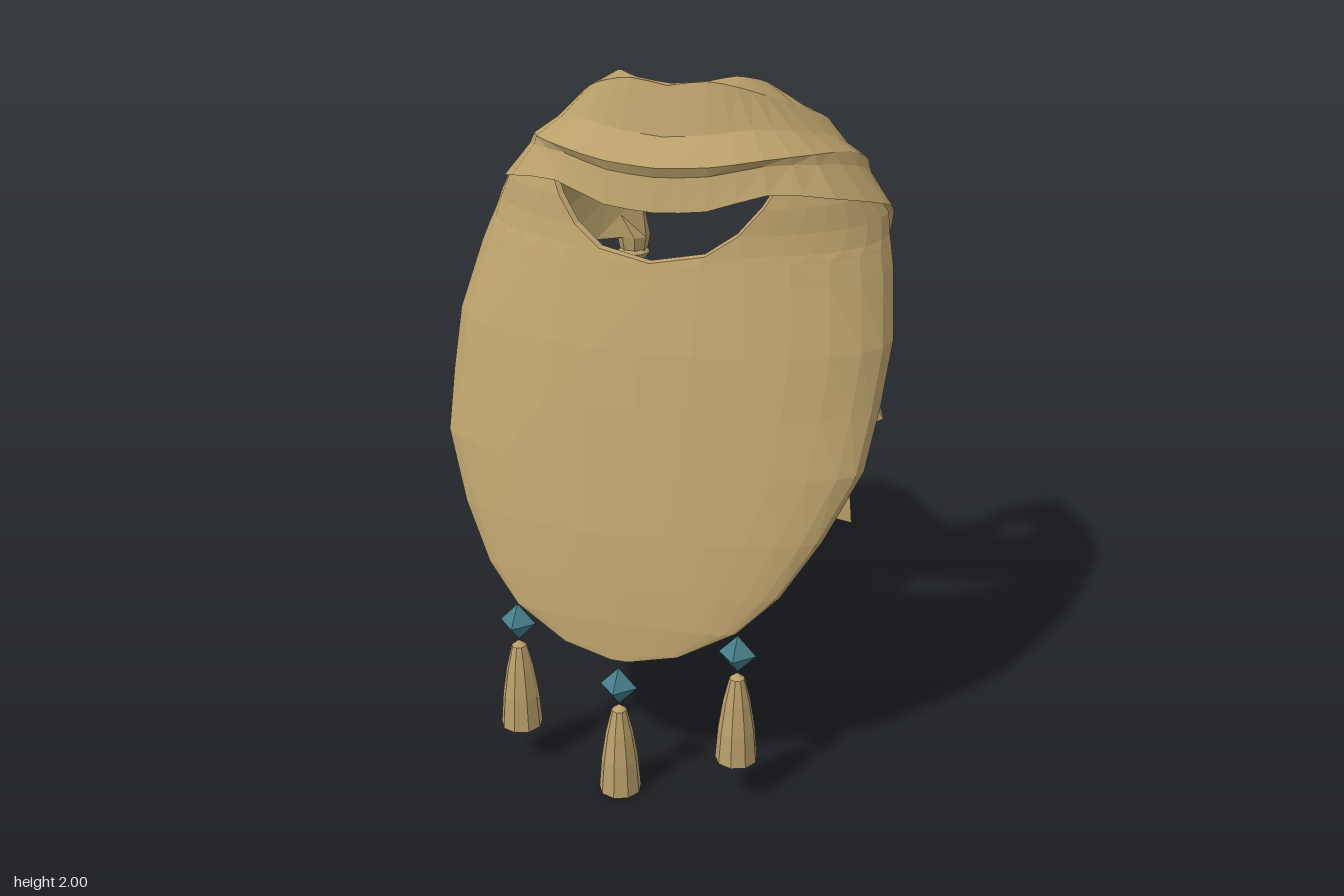
import * as THREE from 'three';

const cloth = new THREE.MeshStandardMaterial({ color: 0xb99f6a, flatShading: true, side: THREE.DoubleSide });
cloth.name = 'sand cloth';
const teal = new THREE.MeshStandardMaterial({ color: 0x467e8a, flatShading: true });
teal.name = 'teal bead';

const V = (x, y, z) => new THREE.Vector3(x, y, z);
const mix = (a, b, t) => a.clone().lerp(b, t);

// Skin a list of cross-sections (arrays of Vector3); side -1 mirrors in x
function loft(rows, side, closed) {
  const n = rows[0].length, pos = [], idx = [];
  rows.forEach(r => r.forEach(p => pos.push(p.x * side, p.y, p.z)));
  for (let i = 0; i < rows.length - 1; i++) {
    for (let j = 0; j < (closed ? n : n - 1); j++) {
      const a = i * n + j, b = i * n + (j + 1) % n, c = a + n, d = b + n;
      if (side > 0) idx.push(a, b, c, b, d, c);
      else idx.push(a, c, b, b, c, d);
    }
  }
  const g = new THREE.BufferGeometry();
  g.setAttribute('position', new THREE.Float32BufferAttribute(pos, 3));
  g.setIndex(idx);
  g.computeVertexNormals();
  return g;
}

function add(parent, name, geometry, material, x = 0, y = 0, z = 0) {
  const m = new THREE.Mesh(geometry, material);
  m.name = name;
  m.position.set(x, y, z);
  parent.add(m);
  return m;
}

// Veil rows: height, inner x (eye slit), half width, centre z, rim z
const veilRows = [
  [0.42, 0, 0.03, 0.69, 0.688], [0.45, 0, 0.17, 0.686, 0.675], [0.53, 0, 0.33, 0.675, 0.635],
  [0.63, 0, 0.44, 0.655, 0.575], [0.78, 0, 0.54, 0.62, 0.49], [0.96, 0, 0.63, 0.565, 0.38],
  [1.12, 0, 0.65, 0.52, 0.265], [1.28, 0, 0.66, 0.47, 0.16], [1.46, 0, 0.63, 0.4, 0.035],
  [1.515, 0, 0.615, 0.38, 0], [1.54, 0.155, 0.607, 0.37, -0.02], [1.595, 0.24, 0.595, 0.355, -0.055],
  [1.665, 0.3, 0.555, 0.34, -0.025], [1.715, 0.33, 0.49, 0.32, 0.04], [1.745, 0.35, 0.44, 0.3, 0.09],
];
function veilSections() {
  const cols = 7;
  return veilRows.map(([y, xs, w, zc, ze]) => {
    const outer = [];
    for (let j = 0; j <= cols; j++) {
      const x = xs + (w - xs) * Math.sin((j / cols) * Math.PI / 2);
      outer.push(V(x, y, ze + (zc - ze) * Math.sqrt(Math.max(0, 1 - (x / w) ** 2))));
    }
    const inner = outer.map(p => V(p.x * 0.975, p.y + 0.004, p.z - 0.02)).reverse();
    return [...outer, ...inner];
  });
}

// Guide lines of the wrap, from the front centre back to the knot
const line = pts => new THREE.CatmullRomCurve3(pts.map(p => V(...p)));
const topEdge = line([[0, 1.98, 0.165], [0.105, 1.99, 0.15], [0.17, 1.995, 0.09], [0.2, 1.985, 0.05], [0.23, 1.96, -0.03],
  [0.262, 1.89, -0.17], [0.283, 1.8, -0.31], [0.3, 1.67, -0.42], [0.3, 1.48, -0.48]]);
const ridge = line([[0, 1.98, 0.2], [0.11, 1.995, 0.19], [0.19, 1.98, 0.165], [0.26, 1.95, 0.11], [0.32, 1.905, 0],
  [0.36, 1.845, -0.18], [0.365, 1.785, -0.33], [0.36, 1.7, -0.45], [0.35, 1.54, -0.535]]);
const fold = line([[0, 1.775, 0.33], [0.15, 1.782, 0.312], [0.295, 1.8, 0.26], [0.415, 1.8, 0.15], [0.478, 1.775, -0.02],
  [0.5, 1.725, -0.18], [0.485, 1.67, -0.31], [0.45, 1.6, -0.43], [0.42, 1.47, -0.52]]);
const lowEdge = line([[0, 1.652, 0.345], [0.15, 1.662, 0.33], [0.31, 1.707, 0.28], [0.485, 1.685, 0.18], [0.59, 1.622, -0.04],
  [0.585, 1.565, -0.2], [0.565, 1.5, -0.31], [0.535, 1.42, -0.395], [0.455, 1.31, -0.465]]);

const knot = V(0.345, 1.21, -0.53);
const ringPoint = (deg, r, y) => {
  const a = deg * Math.PI / 180;
  return V(knot.x + r * Math.cos(a), y, knot.z + r * Math.sin(a));
};

function wrapSections() {
  const steps = 16, rows = [];
  for (let i = 0; i <= steps; i++) {
    const [t, r, f, l] = [topEdge, ridge, fold, lowEdge].map(c => c.getPoint(i / steps));
    const front = 1 - i / steps;
    const n = mix(l, t, 0.08), inside = mix(t, n, 0.5);
    inside.z -= 0.04 * front;
    // hollow above the fold, deepest at the front
    const dip = mix(mix(r, f, 0.6), inside, 0.12 + 0.33 * front);
    const tuck = mix(mix(f, l, 0.35), inside, 0.14);
    rows.push([t, r, dip, f, tuck, l, n, inside]);
  }
  // gathered into the knot
  for (const [y, rad] of [[1.32, 0.056], [1.25, 0.042]])
    rows.push([200, 245, 290, 335, 20, 65, 110, 155].map(d => ringPoint(d, rad, y)));
  return rows;
}

// Hem of the hanging tail, from the front outer corner round the back
const hem = [[0.435, 0.36, -0.515], [0.31, 0.362, -0.545], [0.215, 0.4, -0.605], [0.165, 0.46, -0.69], [0.24, 0.55, -0.75],
  [0.35, 0.585, -0.766], [0.44, 0.635, -0.733], [0.512, 0.71, -0.63], [0.5, 0.775, -0.545], [0.44, 0.8, -0.515]].map(p => V(...p));
function tailSections() {
  return [0, 0.25, 0.5, 0.75, 1].map(t => hem.map((h, j) => {
    const top = ringPoint(60 + j * 35, 0.044, 1.18);
    // spreads early below the knot, then hangs
    const p = mix(top, h, Math.pow(t, 0.9));
    p.y = top.y + (h.y - top.y) * t;
    return p;
  }));
}

function tassel(parent, x, y, z) {
  const g = new THREE.Group();
  g.name = 'tassel';
  g.position.set(x, y, z);
  const bead = new THREE.OctahedronGeometry(0.055);
  bead.scale(1, 1.06, 1);
  add(g, 'tasselBead', bead, teal, 0, 0.343, 0);
  const profile = [[0, 0], [0.062, 0], [0.054, 0.1], [0.04, 0.19], [0.022, 0.265], [0, 0.282]];
  add(g, 'tasselFringe', new THREE.LatheGeometry(profile.map(p => new THREE.Vector2(...p)), 9), cloth);
  parent.add(g);
}

export function createModel() {
  const model = new THREE.Group();
  model.name = 'faceScarf';
  for (const side of [1, -1]) {
    const half = new THREE.Group();
    half.name = side > 0 ? 'leftHalf' : 'rightHalf';
    model.add(half);
    add(half, 'veil', loft(veilSections(), side, true), cloth);
    add(half, 'headWrap', loft(wrapSections(), side, true), cloth);
    add(half, 'hangingTail', loft(tailSections(), side, false), cloth);
    // knot: teal sleeve between two cloth cords
    add(half, 'knotSleeve', new THREE.CylinderGeometry(0.047, 0.047, 0.07, 10), teal, side * knot.x, knot.y, knot.z);
    for (const y of [1.262, 1.168]) {
      const cord = new THREE.TorusGeometry(0.038, 0.017, 5, 10);
      cord.rotateX(Math.PI / 2);
      add(half, 'knotCord', cord, cloth, side * knot.x, y, knot.z);
    }
    tassel(half, side * 0.333, 0.12, 0.627);
  }
  tassel(model, 0, 0, 0.697);
  return model;
}
